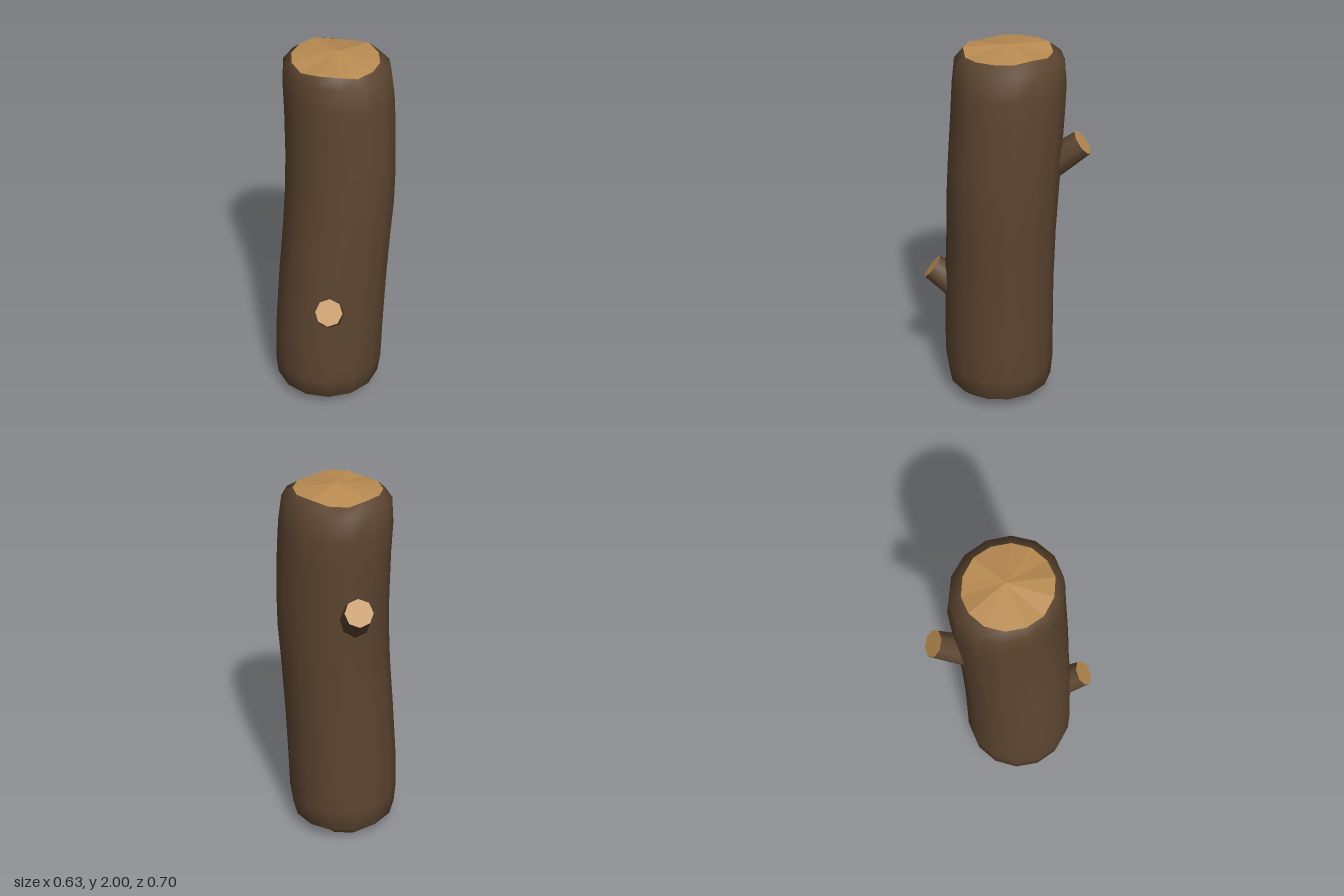
import * as THREE from 'three';

const SIDES = 14;

// Trunk sections: y, left edge x, right edge x, back edge z, front edge z
const SECTIONS = [
  [0.045, -0.235, 0.205, -0.205, 0.235],
  [0.085, -0.302, 0.258, -0.255, 0.287],
  [0.2, -0.316, 0.272, -0.263, 0.303],
  [0.4, -0.314, 0.276, -0.258, 0.306],
  [0.7, -0.295, 0.286, -0.246, 0.308],
  [1.0, -0.262, 0.3, -0.241, 0.312],
  [1.2, -0.24, 0.309, -0.246, 0.321],
  [1.4, -0.225, 0.315, -0.254, 0.317],
  [1.65, -0.216, 0.318, -0.266, 0.301],
  [1.8, -0.214, 0.313, -0.276, 0.291],
  [1.93, -0.208, 0.3, -0.265, 0.272],
  [1.968, -0.175, 0.246, -0.212, 0.221],
];

// Points of one section; wave makes a sawn rim uneven
function ring([y, x0, x1, z0, z1], wave) {
  const points = [];
  for (let i = 0; i < SIDES; i++) {
    const a = (i / SIDES) * Math.PI * 2;
    points.push(new THREE.Vector3(
      (x0 + x1) / 2 + (x1 - x0) / 2 * Math.cos(a),
      y + wave * (Math.sin(a * 3 + 0.6) * 0.6 + Math.sin(a * 5 + 2) * 0.5),
      (z0 + z1) / 2 + (z1 - z0) / 2 * 1.02 * Math.sin(a)));
  }
  return points;
}

function mesh(name, geometry, material) {
  const m = new THREE.Mesh(geometry, material);
  m.name = name;
  return m;
}

function trunkGeometry(rings) {
  const index = [];
  for (let r = 0; r < rings.length - 1; r++) {
    for (let i = 0; i < SIDES; i++) {
      const a = r * SIDES + i, b = r * SIDES + (i + 1) % SIDES;
      index.push(a, a + SIDES, b, b, a + SIDES, b + SIDES);
    }
  }
  const g = new THREE.BufferGeometry().setFromPoints(rings.flat());
  g.setIndex(index);
  g.computeVertexNormals();
  return g;
}

// Faceted fan closing a rim at a centre point
function capGeometry(rim, centre, facesUp) {
  const points = [];
  rim.forEach((p, i) => {
    const q = rim[(i + 1) % SIDES];
    points.push(centre, ...(facesUp ? [q, p] : [p, q]));
  });
  const g = new THREE.BufferGeometry().setFromPoints(points);
  g.computeVertexNormals();
  return g;
}

// Sawn-off branch stub whose cut face is centred on tip
function branch(name, tip, direction, bark, wood) {
  const length = 0.3, group = new THREE.Group();
  group.name = name;
  const side = new THREE.CylinderGeometry(0.07, 0.088, length, 8, 1, true);
  side.translate(0, -length / 2, 0);
  const cut = new THREE.CircleGeometry(0.07, 8);
  cut.rotateX(-Math.PI / 2);
  cut.rotateY(Math.PI / 2);
  group.add(mesh('branchBark', side, bark), mesh('branchCut', cut, wood));
  group.position.set(...tip);
  group.quaternion.setFromUnitVectors(
    new THREE.Vector3(0, 1, 0), new THREE.Vector3(...direction).normalize());
  return group;
}

export function createModel() {
  const bark = new THREE.MeshStandardMaterial({ color: 0x5c4530 });
  bark.name = 'bark';
  const wood = new THREE.MeshStandardMaterial({ color: 0xba8c52 });
  wood.name = 'cutWood';

  const last = SECTIONS.length - 1;
  const rings = SECTIONS.map((s, i) => ring(s, i === 0 ? 0.02 : i === last ? 0.012 : 0));

  const log = new THREE.Group();
  log.name = 'log';
  log.add(
    mesh('trunk', trunkGeometry(rings), bark),
    mesh('topCut', capGeometry(rings[last], new THREE.Vector3(0.05, 2, 0), true), wood),
    mesh('bottomCut', capGeometry(rings[0], new THREE.Vector3(-0.005, 0.003, 0.01), false), wood),
    branch('lowerBranch', [-0.245, 0.733, 0.293], [-0.52, 0.62, 0.58], bark, wood),
    branch('upperBranch', [0.253, 1.48, -0.298], [0.54, 0.62, -0.57], bark, wood));
  return log;
}
